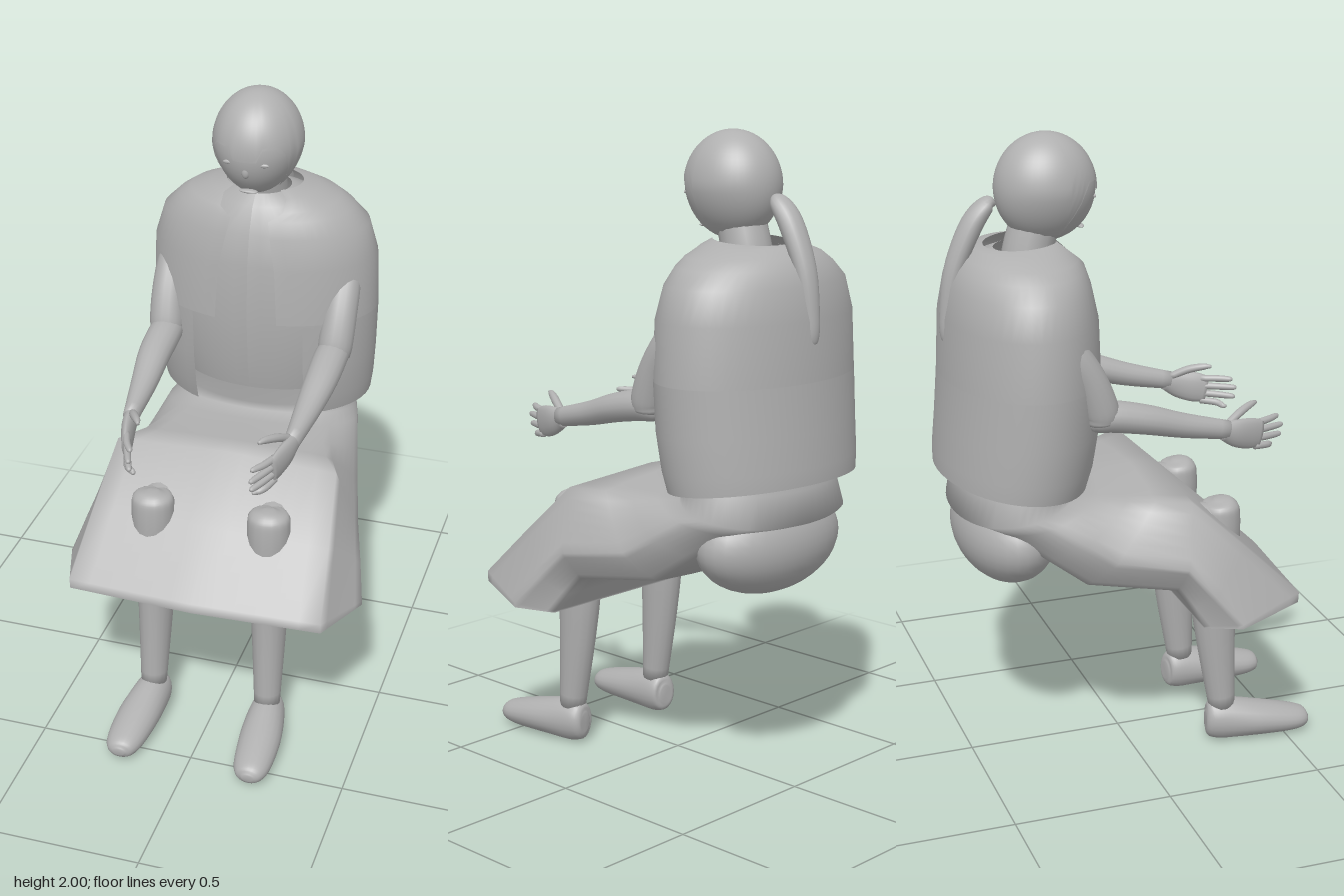
import * as THREE from 'three';

const grey = new THREE.MeshStandardMaterial({ color: 0xb0b0b0, side: THREE.DoubleSide });
grey.name = 'plain grey';

// Skin a list of rings (each a list of Vector3); closed rings share their seam
function loft(rings, closed = true, caps = false) {
  const n = rings[0].length, pos = [], idx = [];
  rings.forEach(r => r.forEach(p => pos.push(p.x, p.y, p.z)));
  const cols = closed ? n : n - 1;
  for (let i = 0; i < rings.length - 1; i++) for (let j = 0; j < cols; j++) {
    const a = i * n + j, b = i * n + (j + 1) % n;
    idx.push(a, b, a + n, b, b + n, a + n);
  }
  if (caps) [0, rings.length - 1].forEach(k => {
    const c = new THREE.Vector3();
    rings[k].forEach(p => c.addScaledVector(p, 1 / n));
    const base = pos.length / 3;
    pos.push(c.x, c.y, c.z);
    for (let j = 0; j < n; j++) {
      const a = k * n + j, b = k * n + (j + 1) % n;
      if (k) idx.push(a, b, base);
      else idx.push(b, a, base);
    }
  });
  const g = new THREE.BufferGeometry();
  g.setAttribute('position', new THREE.Float32BufferAttribute(pos, 3));
  g.setIndex(idx);
  g.computeVertexNormals();
  return g;
}

// Smooth, evenly stepped curve through a list of triples
const spline = list => new THREE.CatmullRomCurve3(list.map(p => new THREE.Vector3(...p)), false, 'catmullrom', 0.5);

// Rounded limb through points [x, y, z, side radius, other radius]
function limb(pts, steps = 24, n = 16) {
  const path = spline(pts.map(p => p.slice(0, 3)));
  const size = spline(pts.map(p => [p[3], p[4] ?? p[3], 0]));
  const rings = [];
  for (let i = 0; i <= steps; i++) {
    const c = path.getPoint(i / steps), t = path.getTangent(i / steps), s = size.getPoint(i / steps);
    const side = new THREE.Vector3(1, 0, 0).addScaledVector(t, -t.x).normalize();
    const up = new THREE.Vector3().crossVectors(side, t);
    const ring = [];
    for (let j = 0; j < n; j++) {
      const a = j / n * Math.PI * 2;
      ring.push(c.clone().addScaledVector(side, Math.cos(a) * s.x).addScaledVector(up, Math.sin(a) * s.y));
    }
    rings.push(ring);
  }
  return loft(rings, true, true);
}

// Upright body ring, open at the front by half-width "open"
function bodyRing([yf, yb, a, zf, zb, open], n = 48) {
  const start = Math.asin(open / a), ring = [];
  for (let j = 0; j <= n; j++) {
    const t = start + (Math.PI * 2 - 2 * start) * j / n, c = Math.cos(t);
    ring.push(new THREE.Vector3(a * Math.sin(t), yf + (yb - yf) * (1 - c) / 2,
      (zf + zb) / 2 + (zf - zb) / 2 * c));
  }
  return ring;
}

// Skirt ring between an upper and a lower point: an ellipse blended by m into a
// six-sided outline with a flat lap, sides that flare downwards and a flat underside
const lapOutline = [[0, 1], [0.84, 0.94], [1, 0.3], [0.85, 0], [0, 0]];
function skirtRing([zt, yt, zb, yb, a, m], n = 48) {
  const ring = [], half = n / 2;
  for (let j = 0; j < n; j++) {
    const h = j <= half ? j : n - j, u = h / half * 4, i = Math.min(3, Math.floor(u));
    const [p, q] = [lapOutline[i], lapOutline[i + 1]], t = h / half * Math.PI;
    const x = THREE.MathUtils.lerp(Math.sin(t), p[0] + (q[0] - p[0]) * (u - i), m);
    const k = THREE.MathUtils.lerp((1 + Math.cos(t)) / 2, p[1] + (q[1] - p[1]) * (u - i), m);
    ring.push(new THREE.Vector3((j <= half ? a : -a) * x, yb + (yt - yb) * k, zb + (zt - zb) * k));
  }
  return ring;
}

// Head surface at height v (1 crown, -1 chin) and angle f from the front
function headPoint(f, v, grow) {
  const r = Math.sqrt(Math.max(0, 1 - v * v)) * grow;
  return new THREE.Vector3(Math.sin(f) * r * 0.14 * (1 - Math.max(0, -v) * 0.14),
    1.835 + v * 0.165 * grow, -0.228 + Math.cos(f) * r * 0.156);
}

// Head shell from the crown down to the height bottom(f)
function headShell(grow, bottom) {
  const rings = [];
  for (let i = 0; i <= 24; i++) {
    const ring = [];
    for (let j = 0; j < 48; j++) {
      const f = j / 48 * Math.PI * 2;
      ring.push(headPoint(f, Math.cos(Math.acos(bottom(f)) * i / 24), grow));
    }
    rings.push(ring);
  }
  return loft(rings);
}

export function createModel() {
  const model = new THREE.Group();
  const add = (name, geometry) => {
    const m = new THREE.Mesh(geometry, grey);
    m.name = name;
    model.add(m);
    return m;
  };
  const ball = (name, x, y, z, rx, ry, rz) => {
    const m = add(name, new THREE.SphereGeometry(1, 32, 20));
    m.position.set(x, y, z);
    m.scale.set(rx, ry, rz);
  };

  // Head, hair cap with a fringe, ponytail and neck
  add('face', headShell(0.975, () => -1));
  add('hair', headShell(1, f => {
    const a = Math.min(f, Math.PI * 2 - f);
    if (a < 0.35) return -0.08;
    if (a < 0.85) return 0.15;
    return a < 1.3 ? 0.15 - 0.85 * (a - 0.85) / 0.45 : -0.8;
  }));
  ball('nose', 0, 1.785, -0.092, 0.013, 0.022, 0.012);
  ball('mouth', 0, 1.71, -0.122, 0.03, 0.006, 0.012);
  for (const s of [-1, 1]) ball('eye', s * 0.05, 1.81, -0.094, 0.022, 0.007, 0.006);
  add('ponytail', limb([[0, 1.802, -0.385, 0.012], [0, 1.792, -0.412, 0.036, 0.026], [0, 1.73, -0.46, 0.042, 0.034],
    [0, 1.6, -0.515, 0.037, 0.03], [0, 1.46, -0.54, 0.028, 0.022], [0, 1.4, -0.546, 0.02, 0.014], [0, 1.385, -0.546, 0.004]], 32));
  add('neck', limb([[0, 1.52, -0.3, 0.085], [0, 1.64, -0.285, 0.078], [0, 1.72, -0.265, 0.075]]));

  // Open jacket: front y, back y, half width, front z, back z, half opening
  add('jacket', loft([
    [1.685, 1.67, 0.12, -0.19, -0.42, 0.075], [1.665, 1.665, 0.17, -0.165, -0.45, 0.1],
    [1.635, 1.64, 0.24, -0.14, -0.485, 0.1], [1.61, 1.61, 0.28, -0.125, -0.51, 0.06],
    [1.56, 1.56, 0.33, -0.11, -0.535, 0.07], [1.46, 1.46, 0.36, -0.09, -0.553, 0.09],
    [1.28, 1.28, 0.367, -0.083, -0.562, 0.1], [1.279, 1.279, 0.367, -0.083, -0.562, 0.18],
    [1.12, 1.13, 0.362, -0.09, -0.574, 0.18], [1.0, 1.03, 0.354, -0.11, -0.584, 0.18],
    [0.935, 0.98, 0.345, -0.13, -0.584, 0.18],
  ].map(r => bodyRing(r)), false));

  // Shirt under the jacket
  add('shirt', loft([
    [1.67, 1.66, 0.085, -0.2, -0.39, 0], [1.64, 1.64, 0.15, -0.165, -0.43, 0], [1.56, 1.56, 0.29, -0.13, -0.5, 0],
    [1.46, 1.46, 0.335, -0.11, -0.53, 0], [1.28, 1.28, 0.34, -0.105, -0.54, 0],
    [1.12, 1.12, 0.31, -0.12, -0.53, 0], [1.02, 1.02, 0.28, -0.14, -0.51, 0],
  ].map(r => bodyRing(r)), false));

  // Skirt from waist over the lap to the open hem: upper z, y, lower z, y, half width, blend
  add('skirt', loft([
    [-0.155, 1.03, -0.5, 1.03, 0.27, 0], [-0.165, 0.95, -0.53, 0.95, 0.285, 0], [-0.165, 0.925, -0.545, 0.85, 0.3, 0.1],
    [-0.1, 0.923, -0.47, 0.825, 0.32, 0.3], [-0.03, 0.925, -0.34, 0.735, 0.345, 0.5],
    [0.04, 0.928, -0.21, 0.655, 0.37, 0.75], [0.12, 0.93, 0.07, 0.63, 0.425, 1],
    [0.3, 0.762, 0.105, 0.575, 0.455, 1], [0.478, 0.59, 0.14, 0.52, 0.482, 1], [0.476, 0.555, 0.14, 0.515, 0.482, 1],
  ].map(r => skirtRing(r))));
  ball('seat', 0, 0.775, -0.38, 0.28, 0.165, 0.155);

  // Arms and legs, mirrored by x sign s
  for (const s of [1, -1]) {
    const side = s > 0 ? 'left' : 'right';
    const part = (name, pts, steps, n) =>
      add(side + name, limb(pts.map(([x, ...rest]) => [s * x, ...rest]), steps, n));

    part('Sleeve', [[0.275, 1.48, -0.29, 0.03], [0.28, 1.4, -0.24, 0.05], [0.282, 1.31, -0.185, 0.053],
      [0.278, 1.22, -0.15, 0.055], [0.275, 1.18, -0.145, 0.05]]);
    part('Forearm', [[0.275, 1.19, -0.185, 0.02], [0.275, 1.188, -0.165, 0.046, 0.042], [0.273, 1.188, -0.11, 0.053, 0.048],
      [0.272, 1.165, 0, 0.051, 0.045], [0.264, 1.13, 0.12, 0.041, 0.038], [0.255, 1.095, 0.27, 0.024, 0.03]]);
    part('Palm', [[0.256, 1.095, 0.25, 0.022, 0.028], [0.25, 1.08, 0.3, 0.021, 0.045],
      [0.238, 1.068, 0.35, 0.018, 0.05], [0.228, 1.06, 0.39, 0.013, 0.044]], 12);
    part('Thumb', [[0.248, 1.11, 0.27, 0.012], [0.225, 1.135, 0.32, 0.013],
      [0.2, 1.148, 0.365, 0.011], [0.187, 1.15, 0.39, 0.005]], 12, 10);
    [0.465, 0.48, 0.475, 0.445].forEach((reach, k) => {
      const y = 1.097 - k * 0.025, tip = 1.098 - k * 0.03;
      part('Finger', [[0.232, y, 0.37, 0.011], [0.213, (y + tip) / 2, 0.42, 0.011],
        [0.192, tip, reach - 0.01, 0.009], [0.186, tip, reach, 0.004]], 10, 10);
    });

    part('Thigh', [[0.13, 0.79, -0.2, 0.08], [0.17, 0.775, 0.05, 0.075], [0.19, 0.765, 0.26, 0.065]]);
    part('Shin', [[0.188, 0.845, 0.272, 0.015], [0.188, 0.828, 0.274, 0.06, 0.055], [0.188, 0.78, 0.274, 0.068, 0.066],
      [0.188, 0.66, 0.265, 0.065, 0.074], [0.188, 0.53, 0.258, 0.061, 0.076],
      [0.19, 0.36, 0.268, 0.053, 0.064], [0.193, 0.12, 0.292, 0.042, 0.043]], 36);
    part('Shoe', [[0.188, 0.07, 0.238, 0.02, 0.03], [0.19, 0.07, 0.25, 0.045, 0.06], [0.195, 0.071, 0.3, 0.058, 0.07],
      [0.205, 0.06, 0.41, 0.067, 0.058], [0.212, 0.046, 0.52, 0.06, 0.044],
      [0.214, 0.041, 0.57, 0.044, 0.032], [0.214, 0.04, 0.587, 0.018, 0.012]], 32, 20);
  }
  return model;
}
